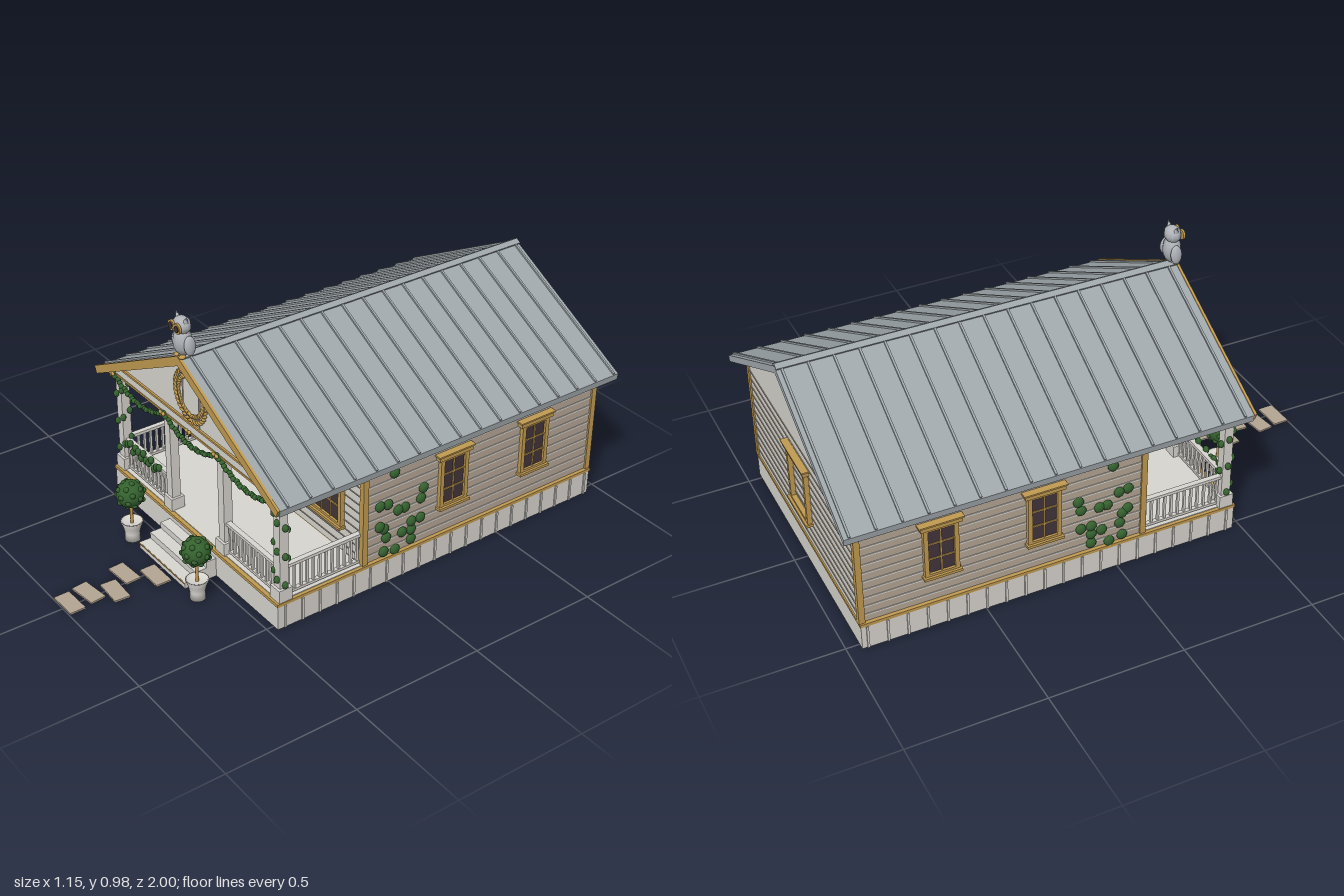
import * as THREE from 'three';

const mat = (name, color) => Object.assign(new THREE.MeshStandardMaterial({ color }), { name });

export function createModel() {
  const white = mat('white paint', 0xd8d5cf), gold = mat('ochre trim', 0xc09a50), roofGrey = mat('metal roof', 0xa0a8ac),
    glass = mat('dark glass', 0x42343a), green = mat('leaf green', 0x35622f), tan = mat('tan siding', 0xb3a593),
    owlGrey = mat('bird grey', 0xb0b4b9);
  const model = new THREE.Group();
  model.name = 'cottage';

  const group = (name, parent = model) => {
    const g = new THREE.Group();
    g.name = name;
    parent.add(g);
    return g;
  };
  const add = (name, geo, m, x, y, z, parent = model) => {
    const mesh = new THREE.Mesh(geo, m);
    mesh.name = name;
    mesh.position.set(x, y, z);
    parent.add(mesh);
    return mesh;
  };
  const box = (name, m, w, h, d, x, y, z, parent) => add(name, new THREE.BoxGeometry(w, h, d), m, x, y, z, parent);
  const ball = new THREE.SphereGeometry(1, 10, 8);
  const blob = (name, m, rx, ry, rz, x, y, z, parent) => {
    const b = add(name, ball, m, x, y, z, parent);
    b.scale.set(rx, ry, rz);
    return b;
  };
  const prism = (name, m, pts, z0, depth, parent) => {
    const shape = new THREE.Shape(pts.map(([x, y]) => new THREE.Vector2(x, y)));
    return add(name, new THREE.ExtrudeGeometry(shape, { depth, bevelEnabled: false }), m, 0, 0, z0, parent);
  };
  const sides = [-1, 1];

  // Foundation with side battens and porch edge
  box('foundation', white, 1.05, 0.095, 1.42, 0, 0.0475, -0.24);
  box('foundationTrim', gold, 1.056, 0.012, 1.426, 0, 0.1, -0.24);
  box('porchFloor', white, 1.03, 0.004, 0.345, 0, 0.107, 0.285);
  for (const s of sides)
    for (let i = 0; i < 20; i++) box('foundationBatten', white, 0.006, 0.09, 0.008, s * 0.527, 0.046, 0.44 - i * 0.072);

  // House body with both gables
  prism('houseBody', white, [[-0.512, 0.1], [0.512, 0.1], [0.512, 0.52], [0, 0.798], [-0.512, 0.52]], -0.948, 1.056);
  for (const s of sides) {
    box('sideWall', tan, 0.004, 0.41, 1.056, s * 0.513, 0.312, -0.42);
    for (let i = 1; i < 12; i++) box('sidingLine', white, 0.005, 0.006, 1.05, s * 0.515, 0.1 + i * 0.035, -0.42);
    for (const z of [0.102, -0.943]) box('cornerBoard', gold, 0.022, 0.415, 0.022, s * 0.511, 0.312, z);
  }
  for (let i = 1; i < 12; i++) {
    box('frontSidingLine', tan, 1.0, 0.003, 0.004, 0, 0.1 + i * 0.035, 0.109);
    box('backSidingLine', tan, 1.0, 0.003, 0.004, 0, 0.1 + i * 0.035, -0.949);
  }

  // Roof slabs, standing seams, ridge and front bargeboards
  const slope = Math.atan2(0.305, 0.575), run = Math.hypot(0.305, 0.575);
  for (const s of sides) {
    const order = p => (s > 0 ? p : p.reverse());
    prism('roofSlope', roofGrey, order([[0, 0.797], [s * 0.572, 0.495], [s * 0.575, 0.52], [0, 0.825]]), -1, 1.494);
    prism('bargeboard', gold, order([[0, 0.79], [s * 0.565, 0.495], [s * 0.577, 0.523], [0, 0.828]]), 0.494, 0.01);
    for (let i = 0; i < 17; i++) {
      const seam = box('roofSeam', roofGrey, run - 0.005, 0.008, 0.008, s * 0.288, 0.675, 0.46 - i * 0.09);
      seam.rotation.z = -s * slope;
    }
    const cap = box('ridgeCap', roofGrey, 0.022, 0.007, 1.494, s * 0.009, 0.826, -0.253);
    cap.rotation.z = -s * slope;
  }

  // Porch pediment, beams and ceiling
  prism('pediment', white, [[-0.53, 0.512], [0.53, 0.512], [0, 0.797]], 0.435, 0.02);
  box('frontBeam', white, 1.04, 0.03, 0.035, 0, 0.528, 0.443);
  box('beamTrimLower', gold, 1.05, 0.008, 0.04, 0, 0.51, 0.443);
  box('beamTrimUpper', gold, 0.97, 0.008, 0.04, 0, 0.546, 0.443);
  for (const s of sides) {
    box('sideBeam', white, 0.03, 0.02, 0.34, s * 0.5, 0.517, 0.27);
    box('pedimentBatten', white, 0.004, 0.21, 0.004, s * 0.05, 0.655, 0.456);
  }

  // Porch posts
  for (const x of [-0.498, -0.168, 0.168, 0.498]) {
    const post = group('porchPost');
    box('shaft', white, 0.035, 0.4, 0.035, x, 0.308, 0.437, post);
    box('plinth', white, 0.054, 0.05, 0.054, x, 0.131, 0.437, post);
    box('capital', white, 0.046, 0.012, 0.046, x, 0.5, 0.437, post);
  }

  // Railings, built along x then turned for the sides
  const railing = (len, count) => {
    const g = group('railing');
    box('topRail', white, len, 0.012, 0.02, 0, 0.23, 0, g);
    box('bottomRail', white, len, 0.01, 0.016, 0, 0.12, 0, g);
    for (let i = 0; i < count; i++) box('baluster', white, 0.009, 0.105, 0.009, ((i + 0.5) / count - 0.5) * len, 0.175, 0, g);
    return g;
  };
  for (const s of sides) {
    railing(0.3, 11).position.set(s * 0.333, 0, 0.437);
    const side = railing(0.315, 12);
    side.position.set(s * 0.498, 0, 0.265);
    side.rotation.y = Math.PI / 2;
  }

  // Windows: frame, sill, header and optional glazing bars
  const windowUnit = (w, h, cols, rows, x, y, z, turn, glazed = true) => {
    const g = group('window');
    g.position.set(x, y, z);
    g.rotation.y = turn;
    for (const s of sides) {
      box('jamb', gold, 0.016, h, 0.02, s * (w / 2 - 0.008), 0, 0.006, g);
      box('frameRail', gold, w, 0.014, 0.02, 0, s * (h / 2 - 0.007), 0.006, g);
    }
    box('header', gold, w + 0.024, 0.018, 0.026, 0, h / 2 + 0.005, 0.009, g);
    box('cornice', gold, w + 0.036, 0.006, 0.032, 0, h / 2 + 0.016, 0.011, g);
    box('sill', gold, w + 0.012, 0.01, 0.03, 0, -h / 2, 0.01, g);
    if (!glazed) return;
    box('pane', glass, w - 0.02, h - 0.02, 0.008, 0, 0, 0.003, g);
    for (let i = 1; i < cols; i++) box('bar', gold, 0.006, h - 0.02, 0.008, (i / cols - 0.5) * (w - 0.03), 0, 0.007, g);
    for (let i = 1; i < rows; i++) box('bar', gold, w - 0.02, 0.006, 0.008, 0, (i / rows - 0.5) * (h - 0.02), 0.007, g);
  };
  for (const s of sides) {
    windowUnit(0.185, 0.22, 3, 3, s * 0.318, 0.32, 0.11, 0);
    for (const z of [-0.28, -0.655]) windowUnit(0.125, 0.205, 2, 3, s * 0.515, 0.32, z, s * Math.PI / 2);
  }
  windowUnit(0.18, 0.22, 2, 3, 0, 0.32, -0.95, Math.PI, false);

  // Front door and wall lanterns
  const door = group('frontDoor');
  box('doorPanel', gold, 0.15, 0.33, 0.02, 0, 0.272, 0.115, door);
  for (const s of sides) {
    box('doorJamb', gold, 0.022, 0.335, 0.03, s * 0.077, 0.275, 0.115, door);
    box('doorPane', glass, 0.046, 0.147, 0.006, s * 0.029, 0.327, 0.125, door);
    box('lantern', tan, 0.022, 0.034, 0.024, s * 0.122, 0.385, 0.125);
    box('lanternCap', gold, 0.028, 0.005, 0.03, s * 0.122, 0.405, 0.125);
  }
  box('transom', white, 0.14, 0.01, 0.006, 0, 0.42, 0.125, door);
  box('doorHeader', gold, 0.19, 0.018, 0.036, 0, 0.441, 0.118, door);
  box('doorCornice', gold, 0.212, 0.007, 0.044, 0, 0.452, 0.12, door);
  blob('doorKnob', gold, 0.006, 0.006, 0.006, 0.055, 0.26, 0.13, door);

  // Steps and stepping stones
  [0.6, 0.555, 0.51].forEach((z, i) => box('step', white, 0.3, 0.025, z - 0.46, 0, 0.0125 + i * 0.025, (z + 0.46) / 2));
  box('stepTrim', gold, 0.3, 0.004, 0.004, 0, 0.022, 0.601);
  [[0.028, 0.645, 0], [-0.045, 0.727, 0.06], [0.022, 0.805, -0.06], [-0.022, 0.885, 0.12], [-0.01, 0.967, 0.02]]
    .forEach(([x, z, r]) => { box('steppingStone', tan, 0.112, 0.007, 0.06, x, 0.0035, z).rotation.y = r; });

  // Potted round trees
  const potProfile = [[0, 0], [0.029, 0], [0.027, 0.03], [0.033, 0.055], [0.042, 0.078], [0.037, 0.08], [0.03, 0.07], [0, 0.07]];
  const potGeo = new THREE.LatheGeometry(potProfile.map(p => new THREE.Vector2(...p)), 20);
  for (const s of sides) {
    const tree = group('pottedTree');
    tree.position.set(s * 0.215, 0, 0.59);
    add('pot', potGeo, white, 0, 0, 0, tree);
    add('trunk', new THREE.CylinderGeometry(0.006, 0.006, 0.09, 8), gold, 0, 0.11, 0, tree);
    blob('crown', green, 0.053, 0.053, 0.053, 0, 0.195, 0, tree);
    for (let i = 0; i < 26; i++) {
      const y = 1 - (2 * i + 1) / 26, r = Math.sqrt(1 - y * y), a = i * 2.4;
      blob('leafTuft', green, 0.011, 0.01, 0.011, 0.048 * r * Math.cos(a), 0.195 + 0.048 * y, 0.048 * r * Math.sin(a), tree);
    }
  }

  // Leaf swags with bows
  const anchors = [-0.51, -0.168, 0.168, 0.51];
  for (let k = 0; k < 3; k++)
    for (let i = 0; i <= 24; i++) {
      const t = i / 24, x = THREE.MathUtils.lerp(anchors[k], anchors[k + 1], t);
      blob('garlandLeaf', green, 0.011, 0.009, 0.01, x, 0.51 - 0.2 * t * (1 - t), 0.465 + 0.003 * Math.sin(i * 2.1));
    }
  for (const [x, y] of [[-0.51, 0.513], [-0.168, 0.513], [0, 0.522], [0.168, 0.513], [0.51, 0.513]])
    for (const s of sides) {
      blob('bowLoop', gold, 0.01, 0.007, 0.006, x + s * 0.009, y, 0.473);
      blob('bowTail', gold, 0.004, 0.009, 0.004, x + s * 0.006, y - 0.008, 0.473);
    }

  // Ivy on posts, one railing and side walls
  const wallIvy = [[-0.02, 0.44], [0.04, 0.325], [0.005, 0.32], [-0.15, 0.33], [-0.04, 0.28], [-0.07, 0.28], [-0.14, 0.29], [0.04, 0.24],
    [0.02, 0.225], [-0.1, 0.21], [-0.14, 0.21], [-0.06, 0.18], [0.01, 0.185], [-0.1, 0.175], [0.02, 0.13], [-0.03, 0.12], [-0.1, 0.135]];
  for (const s of sides) {
    for (let i = 0; i < 15; i++) {
      const a = i * 1.25;
      blob('postIvyLeaf', green, 0.011, 0.014, 0.011, s * (0.498 + 0.024 * Math.cos(a)), 0.17 + i * 0.023, 0.437 + 0.024 * Math.sin(a));
    }
    for (const [z, y] of wallIvy) blob('wallIvyLeaf', green, 0.012, 0.02, 0.02, s * 0.52, y, z);
  }
  for (let i = 0; i < 13; i++)
    blob('railIvyLeaf', green, 0.013, 0.015, 0.011, -0.46 + i * 0.018, 0.224 + 0.016 * Math.sin(i * 2.3), 0.45);

  // Laurel wreath on the pediment
  const wreath = group('wreath');
  wreath.position.set(0, 0.655, 0.458);
  for (const s of sides)
    for (let i = 0; i < 15; i++) {
      const a = 0.08 + i * 0.178;
      for (const o of sides) {
        const r = 0.085 + o * 0.011;
        const leaf = blob('wreathLeaf', gold, 0.0055, 0.015, 0.005, s * r * Math.sin(a), -r * Math.cos(a), 0, wreath);
        leaf.rotation.z = s * (a - Math.PI / 2 - o * 0.6);
      }
    }

  // Owl statue on the ridge
  const owl = group('owl');
  owl.position.set(0, 0.82, 0.48);
  blob('body', owlGrey, 0.038, 0.053, 0.033, 0, 0.06, 0, owl);
  blob('head', owlGrey, 0.037, 0.032, 0.03, 0, 0.12, 0, owl);
  for (const s of sides) {
    blob('wing', owlGrey, 0.012, 0.036, 0.022, s * 0.039, 0.055, -0.004, owl).rotation.z = s * 0.12;
    const tuft = add('earTuft', new THREE.ConeGeometry(0.012, 0.032, 8), owlGrey, s * 0.027, 0.147, 0, owl);
    tuft.rotation.z = -s * 0.4;
    const disc = (name, m, r, z) => {
      add(name, new THREE.CylinderGeometry(r, r, 0.008, 20), m, s * 0.018, 0.12, z, owl).rotation.x = Math.PI / 2;
    };
    disc('eyeRing', gold, 0.019, 0.028);
    disc('pupil', glass, 0.012, 0.031);
    blob('foot', gold, 0.011, 0.007, 0.014, s * 0.015, 0.007, 0.012, owl);
  }
  const beak = add('beak', new THREE.ConeGeometry(0.006, 0.016, 8), gold, 0, 0.11, 0.034, owl);
  beak.rotation.x = Math.PI;
  return model;
}
